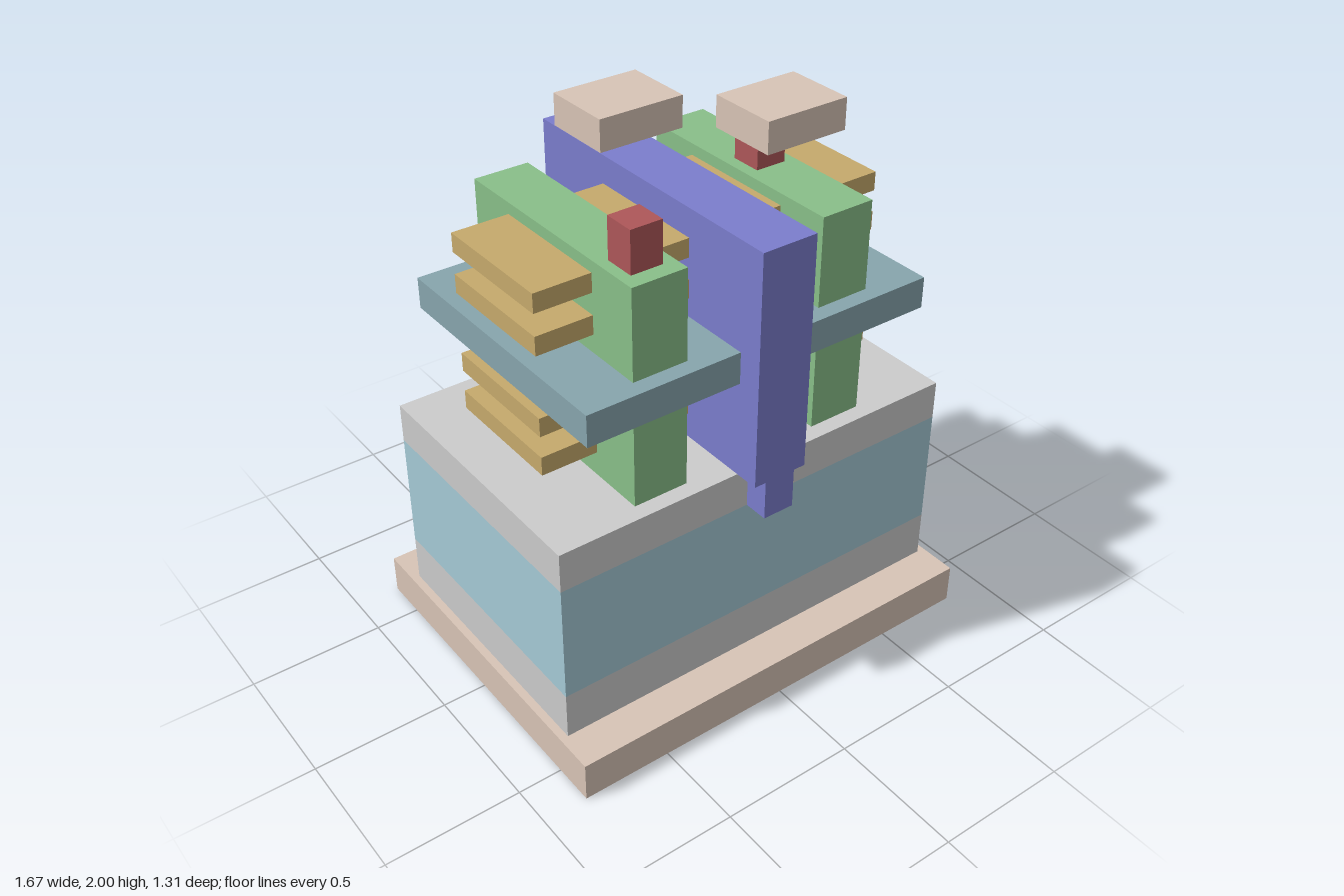
import * as THREE from 'three';

const material = (color) => new THREE.MeshStandardMaterial({ color });

export function createModel() {
  const model = new THREE.Group();
  model.name = 'layeredBlockMachine';

  const tan = material(0xd8c4b6);
  const grey = material(0xcccccc);
  const paleBlue = material(0xa5cad6);
  const violet = material(0x7b7dcd);
  const green = material(0x89bf89);
  const gold = material(0xc6aa6c);
  const teal = material(0x87a5ad);
  const red = material(0xae5759);
  const yellow = material(0xdbd575);

  // Axis-aligned block given by its extents on each axis
  function block(name, mat, [x0, x1], [y0, y1], [z0, z1]) {
    const mesh = new THREE.Mesh(new THREE.BoxGeometry(x1 - x0, y1 - y0, z1 - z0), mat);
    mesh.position.set((x0 + x1) / 2, (y0 + y1) / 2, (z0 + z1) / 2);
    mesh.name = name;
    model.add(mesh);
  }
  const span = (half) => [-half, half];

  // Plinth and banded body
  block('basePlinth', tan, span(0.835), [0, 0.15], span(0.655));
  block('lowerBody', grey, span(0.805), [0.15, 0.33], span(0.508));
  block('bodyBand', paleBlue, span(0.805), [0.33, 0.78], span(0.508));
  block('upperBody', grey, span(0.805), [0.78, 0.928], span(0.508));

  // Central wall with a tab hanging over each end of the body
  block('centreWall', violet, span(0.105), [0.928, 1.795], span(0.6));
  for (const side of [-1, 1]) {
    const z = [0.508 * side, 0.6 * side].sort((a, b) => a - b);
    block(side > 0 ? 'frontTab' : 'backTab', violet, span(0.06), [0.78, 0.928], z);
  }

  // Side walls
  block('leftWall', green, [0.268, 0.475], [0.928, 1.733], span(0.447));
  block('rightWall', green, [-0.475, -0.268], [0.928, 1.733], span(0.447));

  // Horizontal shelves running through the walls
  for (const y of [1.02, 1.17, 1.47, 1.62])
    block('narrowShelf', gold, span(0.687), [y, y + 0.07], span(0.238));
  block('wideShelf', teal, span(0.687), [1.285, 1.402], span(0.508));

  // Posts on top of the walls
  block('rightPost', red, [-0.434, -0.316], [1.733, 1.885], [0.268, 0.386]);
  block('leftPost', red, [0.313, 0.431], [1.733, 1.885], [-0.06, 0.06]);
  block('centrePost', yellow, [-0.075, 0.071], [1.795, 1.885], [-0.39, -0.266]);

  // Cap slabs
  block('centreCap', tan, [-0.21, 0.117], [1.885, 2], [-0.358, -0.093]);
  block('leftCap', tan, [0.206, 0.533], [1.885, 2], [-0.03, 0.237]);

  return model;
}
